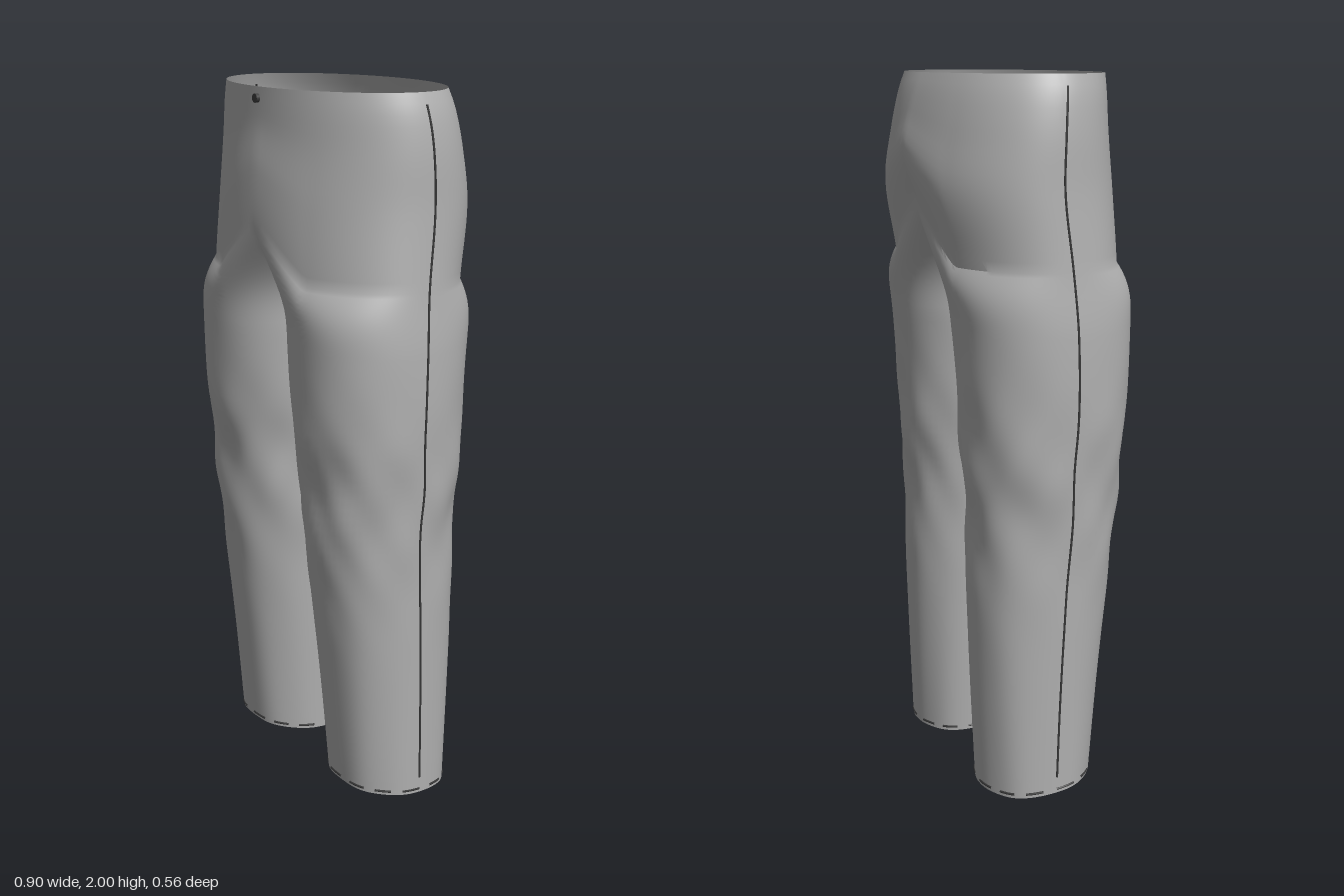
import * as THREE from 'three';
import { toCreasedNormals } from 'three/addons/utils/BufferGeometryUtils.js';

const CROTCH = 1.33, CREASE = 1.5;

// Section table: height, outer x, inner x, front z, back z
const SECTIONS = [
  [0, 0.405, 0.075, 0.16, -0.16],
  [0.3, 0.41, 0.063, 0.185, -0.172],
  [0.6, 0.417, 0.05, 0.215, -0.18],
  [0.82, 0.425, 0.035, 0.238, -0.178],
  [0.96, 0.438, 0.024, 0.243, -0.19],
  [1.1, 0.446, 0.012, 0.262, -0.195],
  [1.33, 0.447, 0, 0.272, -0.212],
  [1.5, 0.434, 0, 0.28, -0.242],
  [1.7, 0.424, 0, 0.275, -0.28],
  [1.85, 0.42, 0, 0.262, -0.26],
  [1.95, 0.407, 0, 0.26, -0.24],
  [2, 0.39, 0, 0.26, -0.225],
];

// Smooth interpolation through the section table
function section(s, col) {
  const R = SECTIONS, last = R.length - 1;
  let i = 0;
  while (i < last - 1 && s > R[i + 1][0]) i++;
  const slope = k => {
    const a = Math.max(k - 1, 0), b = Math.min(k + 1, last);
    return (R[b][col] - R[a][col]) / (R[b][0] - R[a][0]);
  };
  const h = R[i + 1][0] - R[i][0], u = (s - R[i][0]) / h, v = 1 - u;
  return R[i][col] * (1 + 2 * u) * v * v + R[i + 1][col] * u * u * (3 - 2 * u)
    + h * u * v * (slope(i) * v - slope(i + 1) * u);
}

const power = (v, e) => Math.sign(v) * Math.pow(Math.abs(v), e);

// Point on the left half: s is the height, t runs -1 (back) to 1 (front) round the outside
function clothPoint(s, t, grow = 0) {
  const outer = section(s, 1), zf = section(s, 3), zb = section(s, 4);
  const k = THREE.MathUtils.clamp((s - CROTCH) / (CREASE - CROTCH), 0, 1);
  const inner = s > CROTCH ? -outer * Math.pow(k, 3.5) : Math.max(0, section(s, 2));
  const cx = (outer + inner) / 2, cz = (zf + zb) / 2;
  let rx = (outer - inner) / 2 + grow, rz = (zf - zb) / 2 + grow;
  const n = s > 1.5 ? 2.25 - 0.5 * (s - 1.5) : 2.25;

  // Above the crotch each half is open and ends on the centre line
  const end = s > CROTCH ? Math.acos(-Math.pow(Math.min(1, cx / rx), n / 2)) : Math.PI;
  const a = t * end;
  if (s < CROTCH) {
    // Slanting folds round the knee
    const fade = Math.exp(-Math.pow((s - 0.88) / 0.24, 2));
    const w = 0.022 * fade * Math.sin(5 * a + 17 * s) + 0.012 * fade * Math.sin(9 * a - 24 * s)
      + 0.01 * Math.sin(7 * a + 2 * s) * (1 - s / CROTCH);
    rz *= 1 + w;
    rx *= 1 + w * 0.6;
  }
  const x = Math.max(0, cx + rx * power(Math.cos(a), 2 / n));
  const z = cz + rz * power(Math.sin(a), 2 / n);

  // The crease rises to a peak on the centre line; the hem dips at the back
  const lift = s >= CREASE ? 0.16 * (2 - s) / 0.5 : 0.16 * k;
  const y = s + lift * Math.max(0, 1 - x / 0.21)
    + (0.015 + 0.015 * z / 0.16) * Math.max(0, 1 - s / 0.5);
  return new THREE.Vector3(x, Math.max(0, y), z);
}

// Both halves as one sheet of cloth
function clothGeometry() {
  const rows = [], N = 72;
  for (let i = 0; i < 48; i++) rows.push(CROTCH * i / 48);
  for (let i = 0; i < 16; i++) rows.push(CROTCH + (CREASE - CROTCH) * i / 16);
  for (let i = 0; i <= 18; i++) rows.push(CREASE + (2 - CREASE) * i / 18);
  const pos = [], index = [];
  for (const side of [1, -1]) {
    const base = pos.length / 3;
    rows.forEach((s, r) => {
      for (let j = 0; j <= N; j++) {
        const p = clothPoint(s, 2 * j / N - 1);
        pos.push(p.x * side, p.y, p.z);
        if (r === rows.length - 1 || j === N) continue;
        const a = base + r * (N + 1) + j, b = a + N + 1;
        if (side > 0) index.push(a, b, a + 1, b, b + 1, a + 1);
        else index.push(a, a + 1, b, b, a + 1, b + 1);
      }
    });
  }
  const g = new THREE.BufferGeometry();
  g.setAttribute('position', new THREE.Float32BufferAttribute(pos, 3));
  g.setIndex(index);
  return toCreasedNormals(g, 0.55);
}

export function createModel() {
  const fabric = new THREE.MeshStandardMaterial({ color: 0xb0b0b0, side: THREE.DoubleSide });
  fabric.name = 'grey fabric';
  const thread = new THREE.MeshStandardMaterial({ color: 0x3a3a3a });
  thread.name = 'dark thread';

  const model = new THREE.Group();
  model.name = 'trousers';
  const add = (geometry, material, name) => {
    const mesh = new THREE.Mesh(geometry, material);
    mesh.name = name;
    model.add(mesh);
    return mesh;
  };
  add(clothGeometry(), fabric, 'trouserCloth');

  // Thin thread laid on the cloth
  const threadTube = (points, side, name) => {
    const path = new THREE.CatmullRomCurve3(points.map(p => new THREE.Vector3(p.x * side, p.y, p.z)));
    add(new THREE.TubeGeometry(path, points.length * 2, 0.0035, 5), thread, name);
  };

  for (const side of [1, -1]) {
    const label = side > 0 ? 'left' : 'right';
    // Outer side seam
    const seam = [];
    for (let i = 0; i <= 40; i++) seam.push(clothPoint(0.05 + 1.92 * i / 40, 0));
    threadTube(seam, side, label + 'SideSeam');
    // Broken stitching round the hem
    for (let d = 0; d < 12; d++) {
      const dash = [];
      for (let i = 0; i <= 3; i++) dash.push(clothPoint(0.012, (d + 0.6 * i / 3) / 6 - 1));
      threadTube(dash, side, label + 'HemStitch');
    }
  }

  // Waist button
  const button = add(new THREE.CylinderGeometry(0.012, 0.012, 0.012, 16), thread, 'waistButton');
  button.rotation.x = Math.PI / 2;
  button.position.set(0, 1.97, 0.264);
  return model;
}
